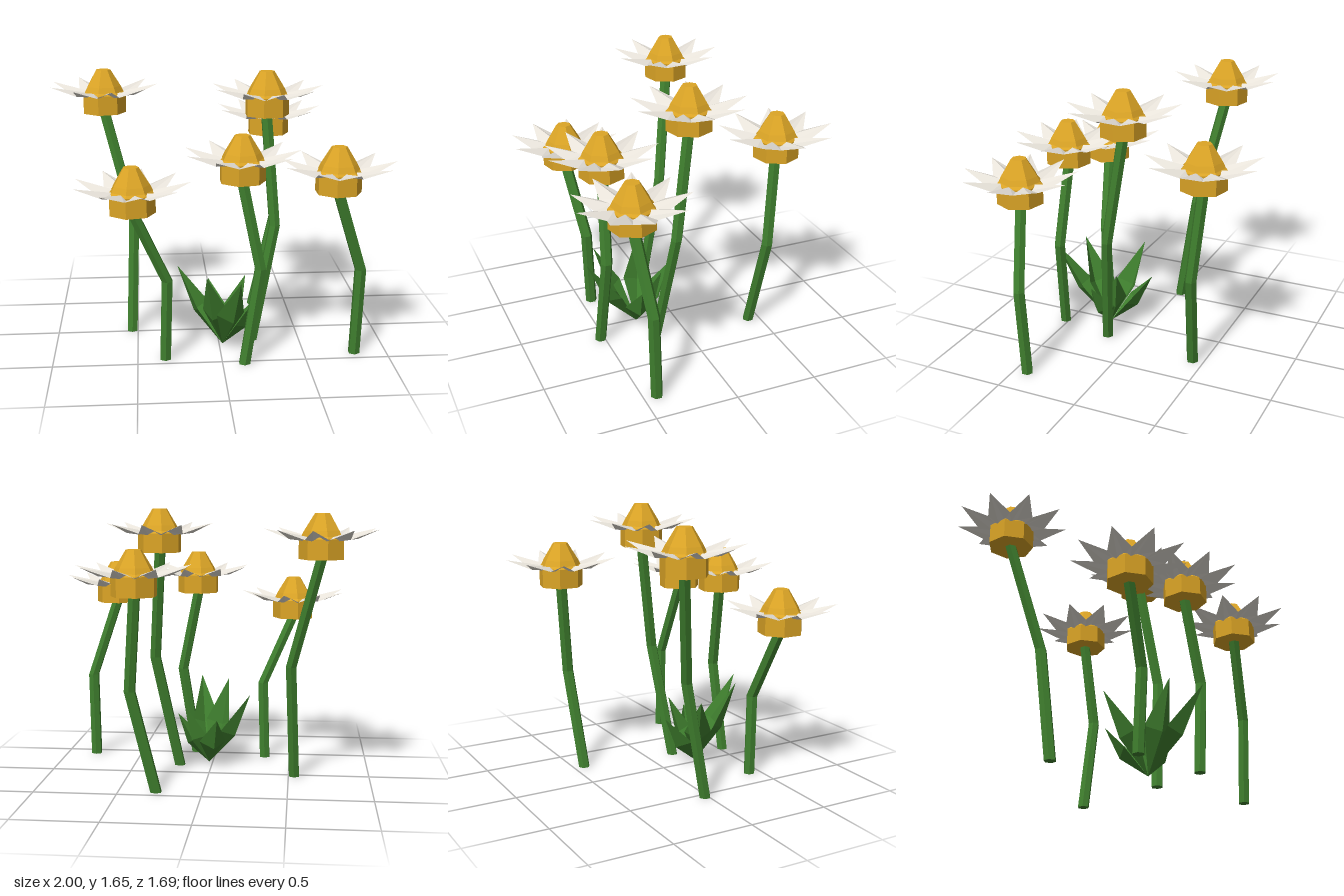
import * as THREE from 'three';

const mat = (name, color, side = THREE.FrontSide) => {
  const m = new THREE.MeshStandardMaterial({ color, flatShading: true, side });
  m.name = name;
  return m;
};

// Triangle soup from a list of Vector3 corners
function facets(corners) {
  const g = new THREE.BufferGeometry().setFromPoints(corners);
  g.computeVertexNormals();
  return g;
}

// Bent six-sided stalk through three points
function stemGeometry(base, knee, top, radius = 0.036) {
  const g = new THREE.CylinderGeometry(radius, radius, 2, 6, 2);
  const path = [base, knee, top].map((p) => new THREE.Vector3(...p));
  const pos = g.attributes.position;
  for (let i = 0; i < pos.count; i++) {
    const c = path[Math.round(pos.getY(i)) + 1];
    pos.setXYZ(i, pos.getX(i) + c.x, c.y, pos.getZ(i) + c.z);
  }
  g.computeVertexNormals();
  return g;
}

// Seven-sided flower centre: straight cup below, tapering dome above
function centreGeometry() {
  const profile = [[0, 0], [0.136, 0], [0.136, 0.118], [0.122, 0.132], [0.106, 0.165], [0.045, 0.265], [0, 0.265]]
    .map(([r, y]) => new THREE.Vector2(r, y));
  return new THREE.LatheGeometry(profile, 7, Math.PI / 2);
}

// Nine pointed petals, creased along ridges and valleys
function petalGeometry(count = 9) {
  const at = (k, r, y) => {
    const a = (k * Math.PI) / count;
    return new THREE.Vector3(r * Math.cos(a), y, r * Math.sin(a));
  };
  const inner = (k) => (k % 2 ? at(k, 0.11, 0.105) : at(k, 0.11, 0.13));
  const outer = (k) => (k % 2 ? at(k, 0.205, 0.118) : at(k, 0.337, 0.175));
  const corners = [];
  for (let k = 0; k < count * 2; k++) {
    const a = inner(k), b = inner(k + 1), c = outer(k), d = outer(k + 1);
    corners.push(a, b, c, b, d, c);
  }
  return facets(corners);
}

// Folded leaf blade from base to tip, widest near the middle
function leafGeometry(base, tip, width = 0.085) {
  const b = new THREE.Vector3(...base);
  const t = new THREE.Vector3(...tip);
  const out = new THREE.Vector3(t.x - b.x, 0, t.z - b.z).normalize();
  const across = new THREE.Vector3(-out.z, 0, out.x).multiplyScalar(width);
  const mid = b.clone().lerp(t, 0.5);
  const left = mid.clone().add(across).addScaledVector(out, -0.02);
  const right = mid.clone().sub(across).addScaledVector(out, -0.02);
  const ridge = mid.clone().addScaledVector(out, 0.04);
  ridge.y -= 0.04;
  return facets([b, left, ridge, b, ridge, right, left, t, ridge, ridge, t, right]);
}

export function createModel() {
  const yellow = mat('golden centre', 0xdca526);
  const white = mat('petal white', 0xe8e3da, THREE.DoubleSide);
  const green = mat('stem green', 0x3f7f2e);
  const leafGreen = mat('leaf green', 0x3f7f2e, THREE.DoubleSide);

  const model = new THREE.Group();
  model.name = 'flowerPatch';
  const add = (parent, name, geometry, material) => {
    const mesh = new THREE.Mesh(geometry, material);
    mesh.name = name;
    parent.add(mesh);
    return mesh;
  };

  // Each flower: stem foot, stem knee, underside of the head
  const flowers = [
    [[-0.535, 0.01, -0.02], [-0.51, 0.72, -0.135], [-0.682, 1.38, -0.255]],
    [[-0.335, 0.01, 0.43], [-0.32, 0.51, 0.45], [-0.515, 0.945, 0.51]],
    [[0.13, 0.01, 0.525], [0.22, 0.59, 0.5], [0.112, 1.11, 0.475]],
    [[0.805, 0.01, 0.42], [0.82, 0.55, 0.44], [0.66, 1.04, 0.495]],
    [[0.205, 0.01, 0.18], [0.35, 0.73, 0.105], [0.303, 1.4, 0.01]],
    [[0.275, 0.01, -0.43], [0.42, 0.62, -0.465], [0.378, 1.18, -0.515]],
  ];
  const centre = centreGeometry();
  const petals = petalGeometry();
  for (const [foot, knee, head] of flowers) {
    const flower = new THREE.Group();
    flower.name = 'flower';
    const [x, y, z] = head;
    add(flower, 'stem', stemGeometry(foot, knee, [x, y + 0.01, z]), green);
    add(flower, 'flowerCentre', centre, yellow).position.set(x, y, z);
    add(flower, 'petals', petals, white).position.set(x, y, z);
    model.add(flower);
  }

  // Leaf tuft
  const tuft = new THREE.Group();
  tuft.name = 'leafTuft';
  const tips = [
    [-0.05, 0.35, -0.015], [0.17, 0.42, 0.13], [-0.25, 0.49, 0.125],
    [-0.09, 0.53, 0.48], [0.1, 0.53, 0.59], [0.23, 0.33, 0.28],
  ];
  for (const tip of tips) add(tuft, 'leaf', leafGeometry([0.02, 0.015, 0.245], tip), leafGreen);
  model.add(tuft);

  return model;
}
